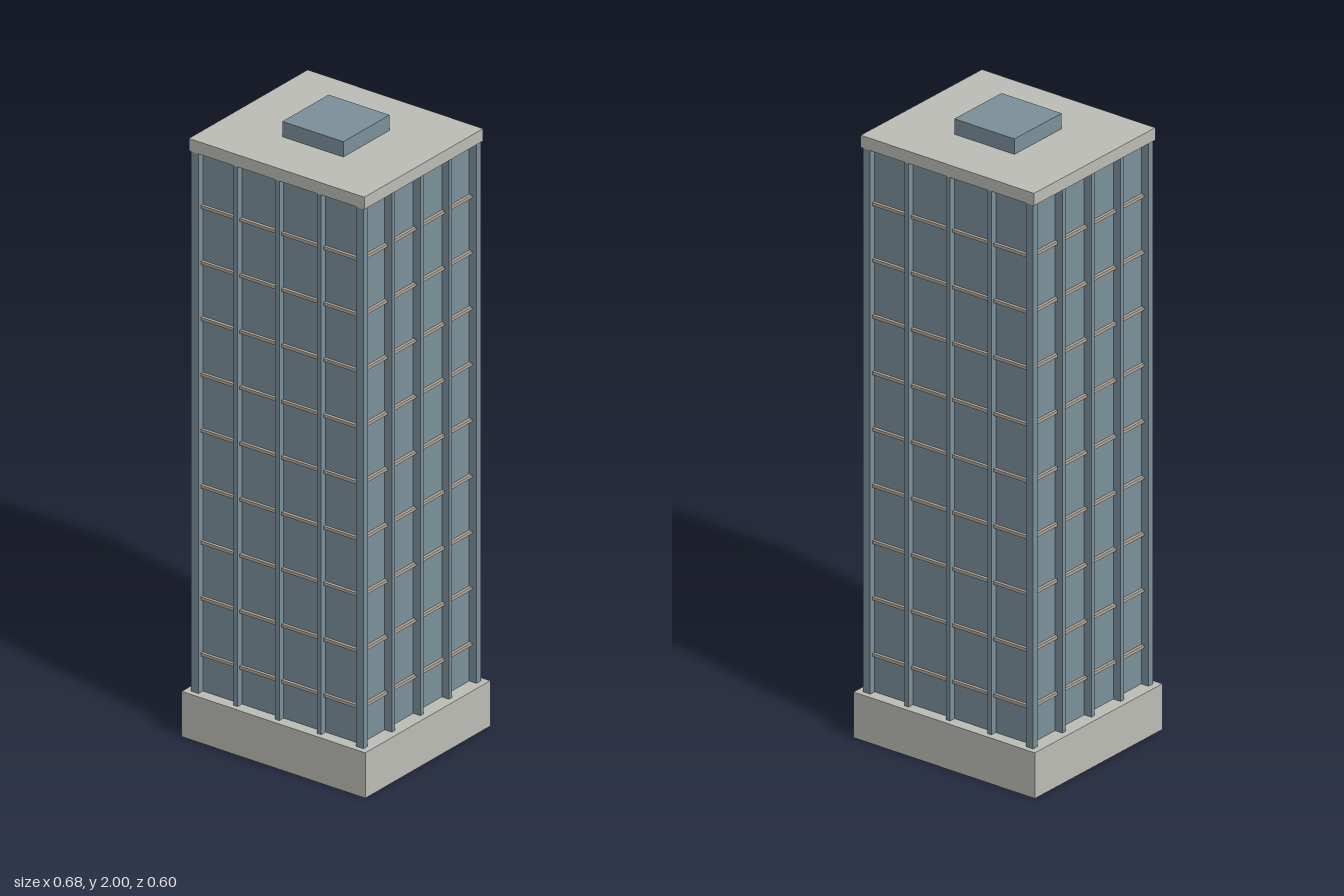
import * as THREE from 'three';

export function createModel() {
  const model = new THREE.Group();
  model.name = 'officeTower';

  const concrete = new THREE.MeshStandardMaterial({ color: 0xbebeb7 });
  concrete.name = 'concrete';
  const glass = new THREE.MeshStandardMaterial({ color: 0x7c919b });
  glass.name = 'blue grey glass';
  const stone = new THREE.MeshStandardMaterial({ color: 0xb3a899 });
  stone.name = 'warm stone';

  const box = (name, material, size, position, parent = model) => {
    const mesh = new THREE.Mesh(new THREE.BoxGeometry(...size), material);
    mesh.name = name;
    mesh.position.set(...position);
    parent.add(mesh);
    return mesh;
  };

  // Heights and half sizes of the shaft
  const bottom = 0.148, top = 1.91;
  const height = top - bottom, middle = (top + bottom) / 2;
  const wallX = 0.29, wallZ = 0.263;
  const outerX = 0.317, outerZ = 0.284;

  // Plinth, glazed shaft, roof slab and plant room
  box('plinth', concrete, [0.676, bottom, 0.604], [0, bottom / 2, 0]);
  box('glazedShaft', glass, [wallX * 2, height, wallZ * 2], [0, middle, 0]);
  box('roofSlab', concrete, [0.646, 0.04, 0.574], [0, 1.93, 0]);
  box('plantRoom', glass, [0.224, 0.05, 0.224], [0, 1.975, 0]);

  // Corner posts
  for (const sx of [-1, 1]) {
    for (const sz of [-1, 1]) {
      box('cornerPost', glass, [outerX - wallX, height, outerZ - wallZ],
        [sx * (wallX + outerX) / 2, middle, sz * (wallZ + outerZ) / 2]);
    }
  }

  // One facade facing +z: three fins and nine floor ledges
  const addFacade = (name, halfWidth, wall, outer, spacing, angle) => {
    const facade = new THREE.Group();
    facade.name = name;
    facade.rotation.y = angle;
    model.add(facade);
    for (const i of [-1, 0, 1]) {
      box('verticalFin', glass, [0.015, height, outer - wall],
        [i * spacing, middle, (wall + outer) / 2], facade);
    }
    for (let i = 0; i < 9; i++) {
      box('floorLedge', stone, [halfWidth * 2, 0.01, 0.01],
        [0, 0.271 + i * 0.1825, wall + 0.005], facade);
    }
  };
  addFacade('frontFacade', wallX, wallZ, outerZ, 0.154, 0);
  addFacade('backFacade', wallX, wallZ, outerZ, 0.154, Math.PI);
  addFacade('leftFacade', wallZ, wallX, outerX, 0.138, Math.PI / 2);
  addFacade('rightFacade', wallZ, wallX, outerX, 0.138, -Math.PI / 2);

  return model;
}
